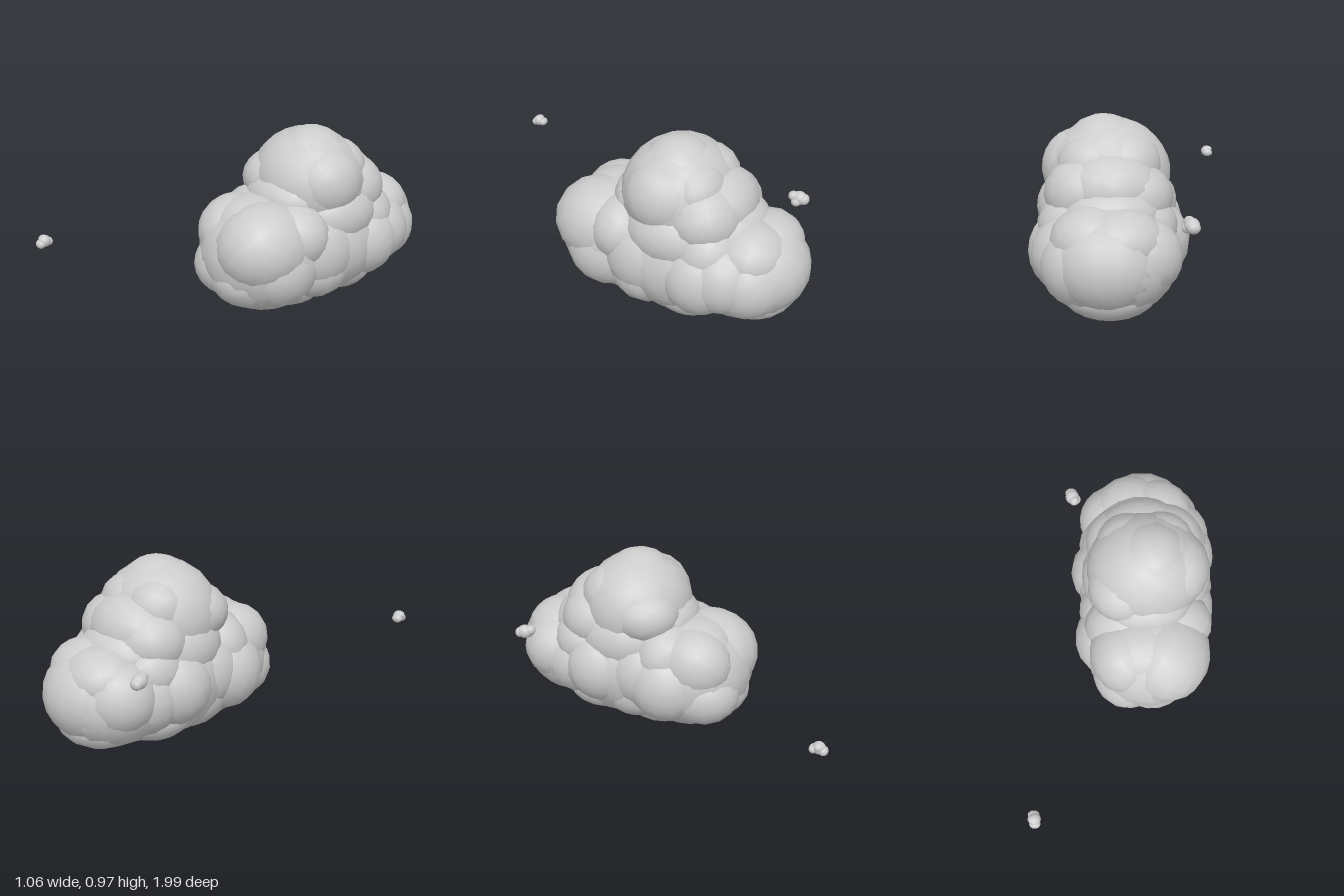
import * as THREE from 'three';

const cloudGrey = new THREE.MeshStandardMaterial({ color: 0xcccccc });
cloudGrey.name = 'cloudGrey';

// One soft lump: a coarse, smooth sphere, turned for variety and then squashed
function puff(name, [x, y, z, rx, ry, rz], index) {
  const geo = new THREE.SphereGeometry(1.015, 16, 11);
  geo.rotateX(index * 1.3).rotateY(index * 2.1).rotateZ(index * 0.7);
  geo.scale(rx, ry, rz);
  const mesh = new THREE.Mesh(geo, cloudGrey);
  mesh.name = name;
  mesh.position.set(x, y, z);
  return mesh;
}

// Each lump: centre x, y, z and radii x, y, z; the first of a lobe is its core
const lobes = {
  frontLobe: [
    [0.13, 0.345, 0.02, 0.33, 0.305, 0.33],
    [0.22, 0.42, 0.09, 0.24, 0.23, 0.265],
    [0.02, 0.28, 0.13, 0.19, 0.18, 0.21],
    [0.15, 0.25, 0.12, 0.21, 0.17, 0.22],
    [0.00, 0.45, 0.09, 0.18, 0.19, 0.21],
    [-0.06, 0.33, -0.04, 0.195, 0.21, 0.21],
    [0.10, 0.51, 0.06, 0.22, 0.145, 0.20],
    [0.28, 0.31, 0.04, 0.19, 0.21, 0.22],
    [0.13, 0.18, -0.02, 0.23, 0.15, 0.22],
    [0.02, 0.47, -0.06, 0.22, 0.19, 0.18],
    [0.27, 0.46, -0.06, 0.21, 0.18, 0.18],
  ],
  middleLobe: [
    [0.14, 0.35, -0.34, 0.365, 0.32, 0.36],
    [0.33, 0.34, -0.51, 0.20, 0.21, 0.21],
    [0.32, 0.36, -0.20, 0.18, 0.22, 0.22],
    [-0.05, 0.36, -0.42, 0.21, 0.21, 0.21],
    [-0.04, 0.37, -0.18, 0.185, 0.21, 0.20],
    [0.30, 0.52, -0.34, 0.19, 0.18, 0.25],
    [-0.02, 0.53, -0.32, 0.18, 0.18, 0.24],
    [0.13, 0.16, -0.15, 0.23, 0.16, 0.24],
    [0.24, 0.20, -0.42, 0.20, 0.15, 0.22],
    [0.04, 0.20, -0.46, 0.20, 0.14, 0.22],
    [0.14, 0.19, -0.57, 0.23, 0.125, 0.23],
    [0.29, 0.26, -0.20, 0.19, 0.18, 0.20],
    [0.00, 0.25, -0.25, 0.19, 0.18, 0.22],
    [0.29, 0.47, -0.53, 0.19, 0.17, 0.18],
    [-0.01, 0.47, -0.54, 0.18, 0.16, 0.18],
  ],
  backLobe: [
    [0.14, 0.345, -0.67, 0.32, 0.265, 0.31],
    [0.15, 0.36, -0.76, 0.26, 0.23, 0.24],
    [0.00, 0.38, -0.73, 0.20, 0.19, 0.19],
    [0.27, 0.34, -0.72, 0.195, 0.20, 0.21],
    [0.09, 0.46, -0.75, 0.21, 0.155, 0.19],
    [0.22, 0.46, -0.72, 0.20, 0.16, 0.19],
    [0.14, 0.22, -0.73, 0.23, 0.135, 0.21],
    [-0.01, 0.34, -0.58, 0.20, 0.20, 0.21],
    [0.31, 0.36, -0.62, 0.20, 0.20, 0.20],
  ],
  topLobe: [
    [0.14, 0.67, -0.30, 0.31, 0.28, 0.29],
    [0.16, 0.76, -0.30, 0.21, 0.205, 0.21],
    [0.01, 0.68, -0.20, 0.18, 0.15, 0.19],
    [0.29, 0.70, -0.28, 0.175, 0.19, 0.20],
    [0.05, 0.74, -0.40, 0.17, 0.16, 0.17],
    [0.22, 0.74, -0.42, 0.17, 0.15, 0.15],
    [0.13, 0.64, -0.51, 0.24, 0.18, 0.19],
    [0.25, 0.62, -0.48, 0.20, 0.18, 0.19],
    [0.02, 0.60, -0.49, 0.19, 0.17, 0.19],
    [0.13, 0.54, -0.58, 0.24, 0.15, 0.19],
    [0.13, 0.61, -0.12, 0.23, 0.14, 0.16],
  ],
  // Small wisps beside the main cloud
  backWisp: [
    [-0.235, 0.55, -0.80, 0.036, 0.036, 0.040],
    [-0.240, 0.545, -0.825, 0.032, 0.028, 0.026],
    [-0.225, 0.56, -0.77, 0.026, 0.026, 0.026],
    [-0.215, 0.535, -0.79, 0.026, 0.024, 0.026],
  ],
  strayWisp: [
    [-0.495, 0.467, 0.95, 0.031, 0.031, 0.032],
    [-0.495, 0.456, 0.972, 0.028, 0.023, 0.023],
    [-0.500, 0.460, 0.925, 0.029, 0.022, 0.021],
    [-0.505, 0.476, 0.950, 0.024, 0.021, 0.024],
  ],
};

export function createModel() {
  const cloud = new THREE.Group();
  cloud.name = 'cloud';
  let index = 0;
  for (const [name, lumps] of Object.entries(lobes)) {
    const lobe = new THREE.Group();
    lobe.name = name;
    lumps.forEach((lump, i) => lobe.add(puff(`${name}Puff${i + 1}`, lump, index++)));
    cloud.add(lobe);
  }
  return cloud;
}
